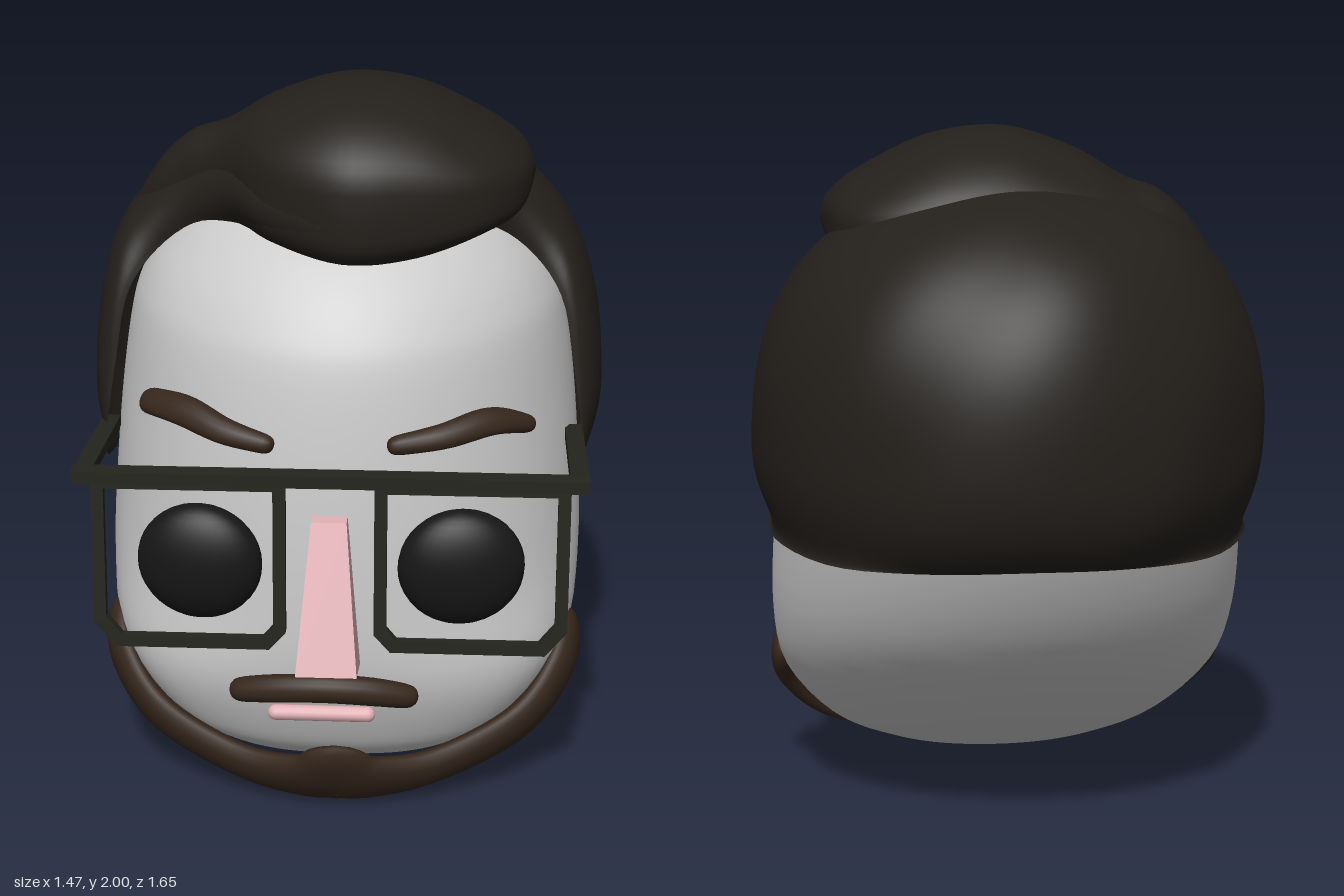
import * as THREE from 'three';
import { mergeVertices } from 'three/addons/utils/BufferGeometryUtils.js';
import { ParametricGeometry } from 'three/addons/geometries/ParametricGeometry.js';

const V = (x, y, z) => new THREE.Vector3(x, y, z);
const mat = (color) => new THREE.MeshStandardMaterial({ color, side: THREE.DoubleSide });
const skin = mat(0xcccccc), hairMat = mat(0x231f1b), beardMat = mat(0x35261b);
const frameMat = mat(0x25251f), eyeMat = mat(0x161616), pinkMat = mat(0xe2b2b6);

function part(name, geometry, material, parent) {
  const mesh = new THREE.Mesh(geometry, material);
  mesh.name = name;
  parent.add(mesh);
  return mesh;
}

// Smooth welded surface from a rule (u, v, target)
function surface(rule, nu, nv) {
  const g = new ParametricGeometry(rule, nu, nv);
  g.deleteAttribute('uv');
  g.deleteAttribute('normal');
  const welded = mergeVertices(g);
  welded.computeVertexNormals();
  return welded;
}

// Smooth curves through table columns
const curve3 = (rows, a, b, c) =>
  new THREE.CatmullRomCurve3(rows.map((r) => V(r[a], r[b], r[c])), false, 'catmullrom', 0.5);
const curve2 = (rows, a, b) => new THREE.SplineCurve(rows.map((r) => new THREE.Vector2(r[a], r[b])));

// Sine or cosine value pushed towards a boxier outline
const boxy = (s, power) => Math.sign(s) * Math.abs(s) ** power;

// Flattened, round-ended strand lying on the face around a centre
function strand(points, widths, thick, centre, segments) {
  const path = new THREE.CatmullRomCurve3(points, false, 'catmullrom', 0.5);
  const width = new THREE.SplineCurve(widths.map((w, i) => new THREE.Vector2(i, w)));
  return surface((u, v, target) => {
    const a = u * Math.PI * 2;
    const t = 0.5 - 0.5 * Math.cos(v * Math.PI);
    const p = path.getPoint(t), tangent = path.getTangent(t);
    const out = p.clone().sub(centre);
    out.addScaledVector(tangent, -out.dot(tangent)).normalize();
    const across = out.clone().cross(tangent);
    const end = Math.sqrt(Math.max(0, 1 - Math.abs(2 * t - 1) ** 20));
    target.copy(p).addScaledVector(across, Math.cos(a) * width.getPoint(t).y * end)
      .addScaledVector(out, Math.sin(a) * thick * end);
  }, 16, segments);
}

// Egg-shaped head from rings: y, half width, front z, back z
function headGeometry() {
  const rings = [
    [0.08, 0, 0.33, 0.33], [0.1, 0.25, 0.45, 0.18], [0.14, 0.38, 0.52, 0.07], [0.22, 0.52, 0.575, -0.07],
    [0.4, 0.65, 0.64, -0.33], [0.6, 0.685, 0.655, -0.54], [0.85, 0.68, 0.645, -0.69], [1.1, 0.66, 0.62, -0.77],
    [1.3, 0.63, 0.585, -0.75], [1.4, 0.6, 0.54, -0.7], [1.5, 0.54, 0.465, -0.63], [1.6, 0.43, 0.35, -0.5],
    [1.7, 0.26, 0.15, -0.33], [1.75, 0, -0.08, -0.08],
  ];
  const size = curve3(rings, 1, 2, 3), height = curve2(rings, 0, 1);
  return surface((u, v, target) => {
    const a = u * Math.PI * 2, s = size.getPoint(v), y = height.getPoint(v).x;
    // The front of the jaw is squarer than the rest
    const power = Math.cos(a) > 0 ? 1 - 0.2 * THREE.MathUtils.smoothstep(0.7 - y, 0, 0.4) : 1;
    target.set(s.x * boxy(Math.sin(a), power), y, (s.y + s.z) / 2 + (s.y - s.z) / 2 * boxy(Math.cos(a), power));
  }, 64, 52);
}

// Distance to the outer hair surface along a unit direction from its centre
function hairRadius(d) {
  const level = Math.hypot(d.x / 0.735, d.z / (d.z > 0 ? 0.88 : 0.77));
  const upright = Math.abs(d.y) / (d.y > 0 ? 0.71 : 0.5);
  return (level ** 2.4 + upright ** 2.4) ** (-1 / 2.4);
}

// Hair cap: spreads from a pole at the back of the crown to the hairline
function hairCapGeometry() {
  const half = [
    V(0, 1.58, 0.42), V(0.18, 1.6, 0.34), V(0.3, 1.61, 0.2), V(0.42, 1.59, 0.13), V(0.53, 1.51, 0.12),
    V(0.61, 1.4, 0.16), V(0.65, 1.2, 0.19), V(0.68, 1.0, 0.2), V(0.69, 0.9, 0.16), V(0.69, 0.865, 0.05),
    V(0.675, 0.855, -0.2), V(0.525, 0.85, -0.5), V(0.285, 0.86, -0.65), V(0, 0.87, -0.705),
  ];
  const other = half.slice(1, -1).reverse().map((p) => V(-p.x, p.y, p.z));
  const hairline = new THREE.CatmullRomCurve3([...half, ...other], true);
  const centre = V(0, 1.15, -0.05), pole = V(0, 0.7, -0.7).normalize();
  return surface((u, v, target) => {
    const edge = hairline.getPoint(u).sub(centre);
    const edgeRadius = edge.length();
    const dir = edge.normalize();
    const axis = pole.clone().cross(dir).normalize();
    const w = 1 - v ** 1.7;
    const d = pole.clone().applyAxisAngle(axis, w * pole.angleTo(dir));
    const wave = 1 + 0.008 * Math.sin(9 * d.x + 5 * d.y) * Math.sin(7 * d.z + 1);
    const r = edgeRadius + (hairRadius(d) * wave - edgeRadius) * Math.sqrt(Math.max(0, 1 - w ** 10));
    target.copy(centre).addScaledVector(d, r);
  }, 110, 36);
}

// Swept quiff, lofted across x from boxy sections: x, top y, front z, bottom y, back z
function quiffGeometry() {
  const sections = [
    [-0.64, 1.54, -0.05, 1.54, -0.05], [-0.55, 1.72, 0.05, 1.5, -0.16], [-0.45, 1.82, 0.1, 1.56, -0.22],
    [-0.34, 1.86, 0.18, 1.6, -0.26], [-0.2, 1.94, 0.37, 1.57, -0.3], [0, 2, 0.475, 1.535, -0.34],
    [0.2, 1.98, 0.455, 1.55, -0.34], [0.38, 1.9, 0.385, 1.61, -0.28], [0.49, 1.825, 0.26, 1.66, -0.15],
    [0.53, 1.75, 0.08, 1.75, 0.08],
  ];
  const size = curve3(sections, 1, 2, 3), ends = curve2(sections, 0, 4);
  return surface((u, v, target) => {
    const a = u * Math.PI * 2, s = size.getPoint(v), e = ends.getPoint(v);
    const z = (s.y + e.y) / 2 + (s.y - e.y) / 2 * boxy(Math.sin(a), 0.6);
    const y = (s.x + s.z) / 2 + (s.x - s.z) / 2 * boxy(Math.cos(a), 0.6);
    const droop = (0.4 + 0.25 * Math.cos(a)) * (z - 0.075) ** 2;
    target.set(e.x, y - droop, z);
  }, 48, 52);
}

// One chamfered spectacle rim, hanging down from y = 0
function rimGeometry(side) {
  const outline = (o) => [
    [0.12 + o, -o], [0.12 + o, -0.44 + o * 0.5], [0.165 + o * 0.5, -0.49 + o],
    [0.585 - o * 0.5, -0.49 + o], [0.645 - o, -0.42 + o * 0.5], [0.645 - o, -o],
  ].map(([x, y]) => new THREE.Vector2(side * x, y));
  const shape = new THREE.Shape(outline(0));
  shape.holes.push(new THREE.Path(outline(0.034)));
  return new THREE.ExtrudeGeometry(shape, { depth: 0.028, bevelEnabled: false }).translate(0, 0, -0.014);
}

// Wedge nose: box with its corners moved
function noseGeometry() {
  const g = new THREE.BoxGeometry(2, 2, 2).toNonIndexed();
  const p = g.attributes.position;
  for (let i = 0; i < p.count; i++) {
    const top = p.getY(i) > 0, front = p.getZ(i) > 0;
    p.setXYZ(i, p.getX(i) * (top ? 0.048 : 0.083) - 0.012,
      top ? 0.92 : front ? 0.53 : 0.475, front ? (top ? 0.685 : 0.83) : 0.6);
  }
  g.computeVertexNormals();
  return g;
}

export function createModel() {
  const model = new THREE.Group();
  model.name = 'beardedHead';
  part('head', headGeometry(), skin, model);

  const hair = new THREE.Group();
  hair.name = 'hair';
  model.add(hair);
  part('hairCap', hairCapGeometry(), hairMat, hair);
  part('quiff', quiffGeometry(), hairMat, hair);

  // Beard along the jaw, rising to a point on the chin
  const jaw = [V(0.66, 0.455, 0.205), V(0.63, 0.34, 0.335), V(0.51, 0.205, 0.44), V(0.28, 0.11, 0.53), V(0.1, 0.095, 0.585)];
  const jawWidth = [0.085, 0.085, 0.08, 0.072, 0.095];
  part('beard', strand(
    [...jaw, V(0, 0.115, 0.6), ...jaw.slice().reverse().map((p) => V(-p.x, p.y, p.z))],
    [...jawWidth, 0.13, ...jawWidth.slice().reverse()], 0.042, V(0, 0.41, 0.1), 80), beardMat, model);

  const faceCentre = V(0, 0.6, 0);
  part('moustache', strand(
    [V(-0.29, 0.385, 0.63), V(-0.16, 0.415, 0.675), V(-0.03, 0.427, 0.693), V(0.1, 0.415, 0.68), V(0.23, 0.38, 0.64)],
    [0.035, 0.04, 0.04, 0.04, 0.034], 0.034, V(0, 0.3, 0), 28), beardMat, model);
  part('leftEyebrow', strand(
    [V(0.14, 1.11, 0.605), V(0.29, 1.135, 0.58), V(0.42, 1.155, 0.51), V(0.535, 1.115, 0.42)],
    [0.027, 0.036, 0.04, 0.026], 0.026, faceCentre, 24), beardMat, model);
  part('rightEyebrow', strand(
    [V(-0.545, 1.16, 0.4), V(-0.42, 1.165, 0.5), V(-0.3, 1.135, 0.575), V(-0.165, 1.105, 0.605)],
    [0.038, 0.044, 0.037, 0.027], 0.026, faceCentre, 24), beardMat, model);

  const lips = part('mouth', new THREE.CapsuleGeometry(0.022, 0.255, 6, 12), pinkMat, model);
  lips.rotation.z = Math.PI / 2;
  lips.position.set(-0.035, 0.338, 0.667);
  part('nose', noseGeometry(), pinkMat, model);

  const glasses = new THREE.Group();
  glasses.name = 'glasses';
  model.add(glasses);
  part('browBar', new THREE.BoxGeometry(1.385, 0.035, 0.055), frameMat, glasses).position.set(-0.01, 1.04, 0.67);

  for (const side of [1, -1]) {
    const label = side > 0 ? 'left' : 'right';
    const eye = part(label + 'Eye', new THREE.SphereGeometry(1, 32, 20), eyeMat, model);
    eye.scale.set(0.173, 0.166, 0.083);
    eye.position.set(-0.01 + side * 0.355, 0.79, 0.66);
    eye.rotation.y = side * 0.12;

    const rim = part(label + 'Rim', rimGeometry(side), frameMat, glasses);
    rim.position.set(-0.01, 1.035, 0.66);
    rim.rotation.x = -0.06;

    // Arm running back into the hair
    const arm = part(label + 'Arm', new THREE.BoxGeometry(0.05, 0.03, 0.57), frameMat, glasses);
    arm.position.set(-0.01 + side * 0.667, 1.015, 0.41);
    arm.rotation.x = -0.09;
  }
  return model;
}
